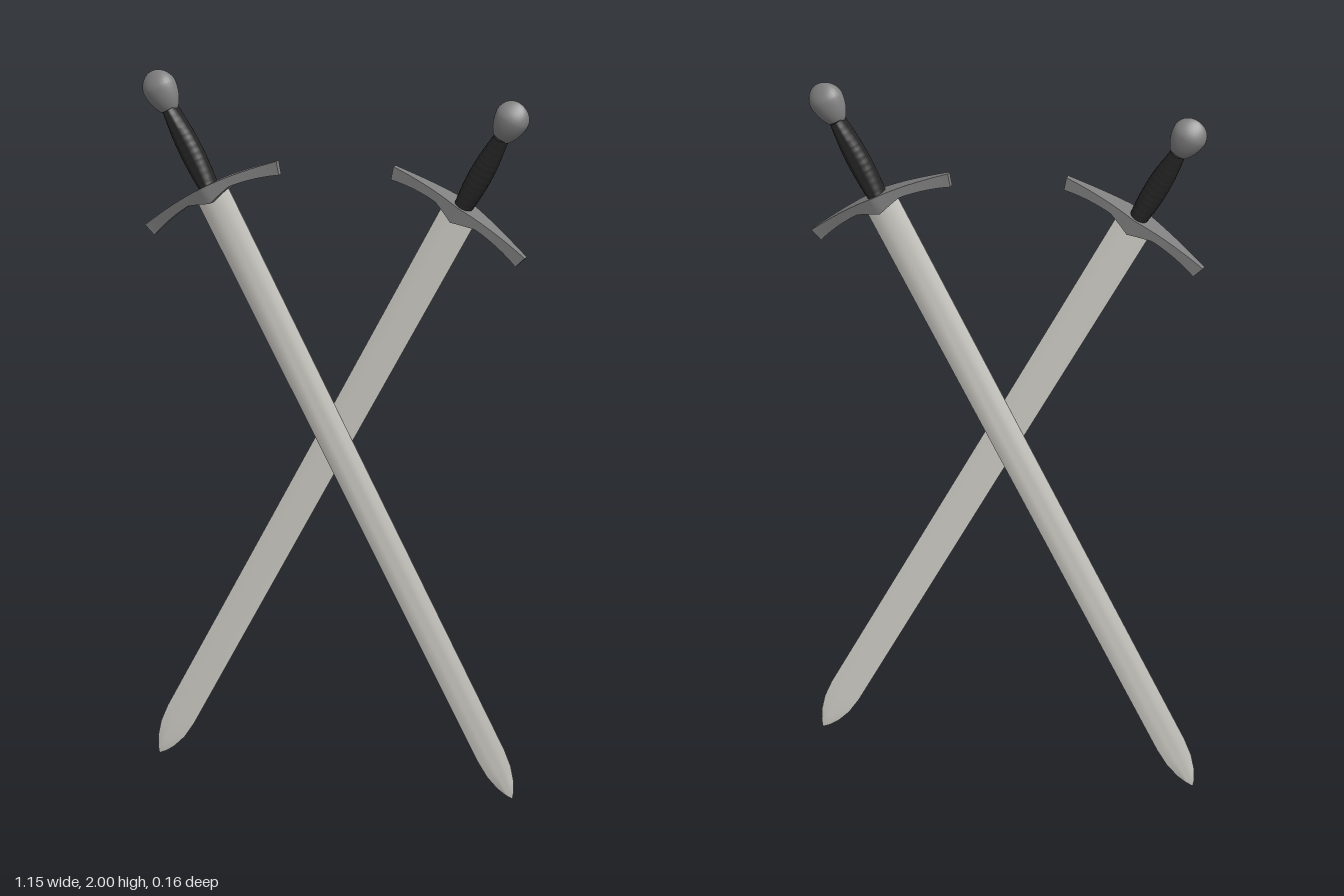
import * as THREE from 'three';
import { toCreasedNormals } from 'three/addons/utils/BufferGeometryUtils.js';

const steel = new THREE.MeshStandardMaterial({ name: 'bladeSteel', color: 0xdedcd5 });
const iron = new THREE.MeshStandardMaterial({ name: 'darkIron', color: 0x808080 });
const leather = new THREE.MeshStandardMaterial({ name: 'blackLeather', color: 0x262626 });

// Skin a list of equal-length rings into a closed solid.
// Rings run counter-clockwise seen from the last ring towards the first.
function loft(rings, crease) {
  const n = rings[0].length;
  const index = [];
  for (let i = 0; i < rings.length - 1; i++) {
    for (let j = 0; j < n; j++) {
      const a = i * n + j, b = i * n + (j + 1) % n;
      index.push(a, b, b + n, a, b + n, a + n);
    }
  }
  const last = (rings.length - 1) * n;
  for (let j = 1; j < n - 1; j++) {
    index.push(0, j + 1, j, last, last + j, last + j + 1);
  }
  const g = new THREE.BufferGeometry();
  g.setAttribute('position', new THREE.Float32BufferAttribute(rings.flat(2), 3));
  g.setIndex(index);
  return toCreasedNormals(g, crease);
}

// Lens-section blade with a slow taper and a rounded point
function bladeGeometry() {
  const section = [[1, 0.1], [0.6, 0.75], [0.2, 1], [-0.2, 1], [-0.6, 0.75], [-1, 0.1],
    [-1, -0.1], [-0.6, -0.75], [-0.2, -1], [0.2, -1], [0.6, -0.75], [1, -0.1]];
  // [height, half width, half thickness], from the point up
  const stations = [[-1.893, 0.002, 0.002], [-1.878, 0.014, 0.003], [-1.852, 0.028, 0.004],
    [-1.81, 0.041, 0.0045], [-1.76, 0.046, 0.005], [-1.5, 0.047, 0.006],
    [-0.75, 0.05, 0.01], [0, 0.054, 0.013]];
  return loft(stations.map(([y, w, t]) => section.map(([a, b]) => [a * w, y, -b * t])), 0.5);
}

// Bowed crossguard, thick in the middle and slim at the flared tips
function guardGeometry() {
  const rings = [];
  const half = 0.225, steps = 32;
  for (let i = 0; i <= steps; i++) {
    const s = (i / steps) * 2 - 1, a = Math.abs(s);
    const x = s * half;
    const mid = 0.018 - 0.03 * a * a;
    const h = 0.013 + 0.006 * a ** 3;
    const drop = 0.024 * Math.max(0, 1 - a / 0.32);
    const z = 0.0085 + 0.0335 * (1 - a) ** 1.2;
    const lean = -s * 0.006 * a;
    rings.push([[x + lean, mid - h - drop, z], [x + lean, mid - h - drop, -z],
      [x - lean, mid + h, -z], [x - lean, mid + h, z]]);
  }
  return loft(rings, 0.45);
}

// Swelling grip with faint wrapping ridges, flattened to an even thickness
function gripGeometry() {
  const radius = (t) => 0.026 - 0.005 * t + 0.01 * Math.sin(Math.PI * t);
  const base = 0.02, length = 0.25, steps = 72;
  const pts = [new THREE.Vector2(0, base)];
  for (let i = 0; i <= steps; i++) {
    const t = i / steps;
    pts.push(new THREE.Vector2(radius(t) + 0.0003 * Math.sin(t * Math.PI * 24), base + length * t));
  }
  pts.push(new THREE.Vector2(0, base + length));
  const g = new THREE.LatheGeometry(pts, 24);
  const p = g.attributes.position;
  for (let i = 0; i < p.count; i++) {
    p.setZ(i, p.getZ(i) * 0.033 / radius((p.getY(i) - base) / length));
  }
  return toCreasedNormals(g, 0.9);
}

// Teardrop pommel, rounded in outline and lens-shaped in thickness
function pommelGeometry() {
  const g = new THREE.SphereGeometry(1, 28, 20);
  const p = g.attributes.position;
  for (let i = 0; i < p.count; i++) {
    const x = p.getX(i), y = p.getY(i), z = p.getZ(i);
    const neck = y < 0 ? 1 + 0.12 * y : 1;
    const point = y > 0 ? 1 - 0.55 * y * y : 1;
    p.setXYZ(i, x * 0.051 * neck, 0.335 + y * (y > 0 ? 0.053 : 0.082), z * 0.041 * point * neck);
  }
  g.computeVertexNormals();
  return g;
}

const parts = [
  ['blade', bladeGeometry, steel],
  ['crossguard', guardGeometry, iron],
  ['grip', gripGeometry, leather],
  ['pommel', pommelGeometry, iron],
];

export function createModel() {
  const model = new THREE.Group();
  model.name = 'crossedSwords';
  const built = parts.map(([name, make, material]) => [name, make(), material]);
  // Front sword leans to -x, back sword to +x
  for (const side of [1, -1]) {
    const sword = new THREE.Group();
    sword.name = side > 0 ? 'frontSword' : 'backSword';
    for (const [name, geometry, material] of built) {
      const mesh = new THREE.Mesh(geometry, material);
      mesh.name = name;
      sword.add(mesh);
    }
    sword.rotation.z = side * THREE.MathUtils.degToRad(29.1);
    sword.position.set(-0.361 * side, 1.655, 0.04 * side);
    model.add(sword);
  }
  return model;
}
